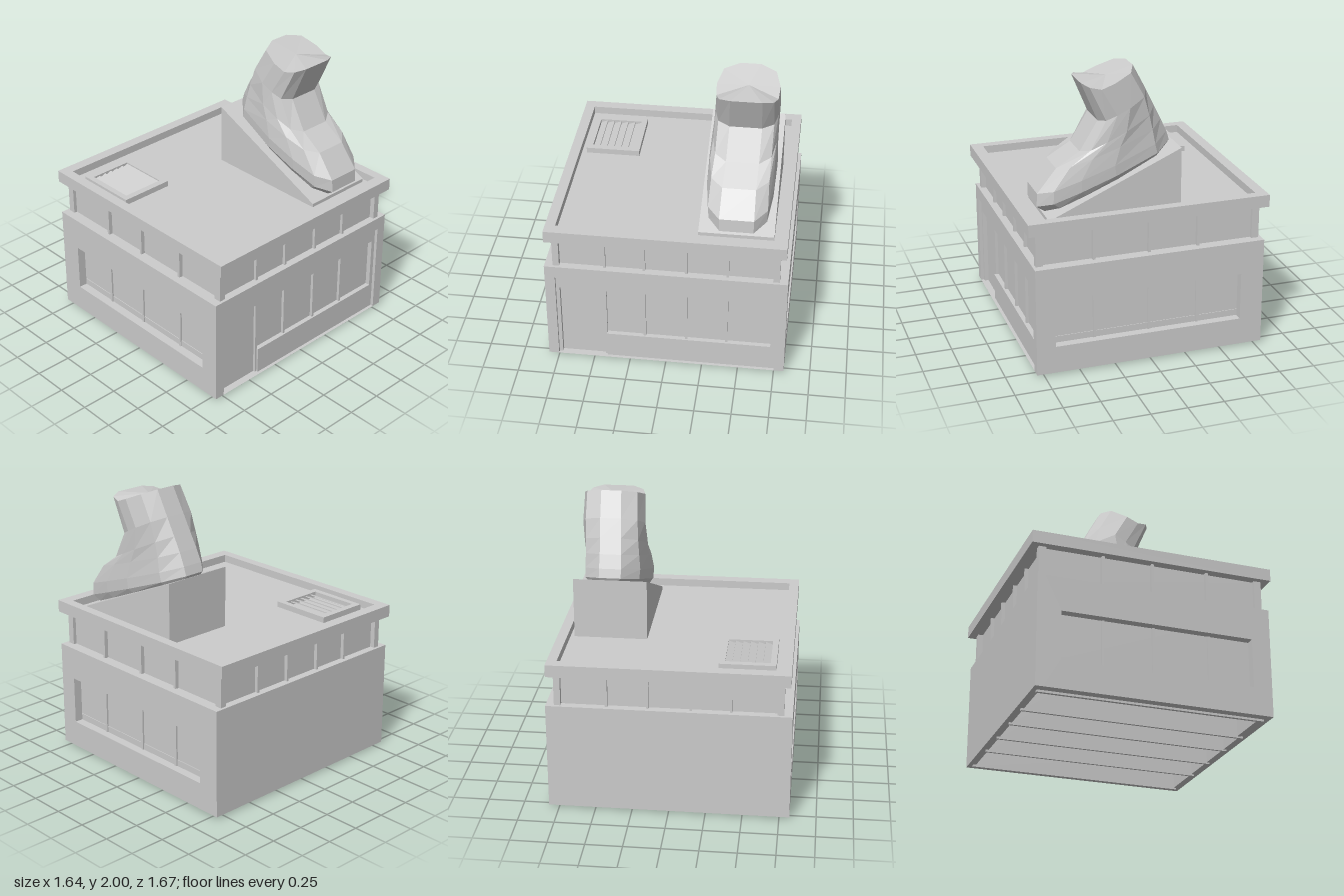
import * as THREE from 'three';

const mat = new THREE.MeshStandardMaterial({ color: 0xcccccc, flatShading: true, side: THREE.DoubleSide });

function add(parent, name, geometry) {
  const mesh = new THREE.Mesh(geometry, mat);
  mesh.name = name;
  parent.add(mesh);
  return mesh;
}

// Box given by its extents on each axis
function box(parent, name, x0, x1, y0, y1, z0, z1) {
  const g = new THREE.BoxGeometry(x1 - x0, y1 - y0, z1 - z0);
  g.translate((x0 + x1) / 2, (y0 + y1) / 2, (z0 + z1) / 2);
  return add(parent, name, g);
}

// Flat rectangular panel [x0, x1, y0, y1] with a rectangular opening
function frame(outer, hole, depth) {
  const corners = ([a, b, c, d]) => [[a, c], [b, c], [b, d], [a, d]].map(p => new THREE.Vector2(...p));
  const shape = new THREE.Shape(corners(outer));
  shape.holes.push(new THREE.Path(corners(hole).reverse()));
  return new THREE.ExtrudeGeometry(shape, { depth, bevelEnabled: false });
}

function buildWalls(root) {
  const g = new THREE.Group();
  g.name = 'groundFloor';
  root.add(g);
  box(g, 'backWall', -0.82, 0.82, 0.015, 0.77, -0.8, -0.75);
  add(g, 'frontWall', frame([-0.82, 0.82, 0.015, 0.77], [-0.75, 0.75, 0.0151, 0.68], 0.05)).position.z = 0.75;

  // Side walls with a long window each; local x runs towards -z
  for (const s of [-1, 1]) {
    const side = frame([-0.75, 0.75, 0.015, 0.77], [-0.67, 0.64, 0.205, 0.54], 0.06);
    side.rotateY(Math.PI / 2);
    side.translate(s > 0 ? 0.76 : -0.82, 0, 0);
    add(g, 'sideWall', side);
    box(g, 'innerWall', s * 0.75 - 0.01, s * 0.75 + 0.01, 0, 0.25, -0.77, 0.76);
  }

  // Glazed core, whose underside is the raised floor
  box(g, 'glazing', -0.755, 0.755, 0.19, 0.765, -0.75, 0.745);
  box(g, 'ledge', -0.8, 0.8, 0.74, 0.769, -0.79, 0.79);

  // Shop front
  box(g, 'signBand', -0.75, 0.75, 0.58, 0.68, 0.74, 0.778);
  box(g, 'frontSill', -0.41, 0.75, 0.012, 0.205, 0.745, 0.778);
  box(g, 'frontJamb', 0.72, 0.75, 0.2, 0.58, 0.74, 0.778);
  box(g, 'doorJamb', -0.75, -0.725, 0.015, 0.58, 0.74, 0.778);
  box(g, 'door', -0.73, -0.41, 0.012, 0.58, 0.725, 0.748);
}

function buildUpperFloor(root) {
  const g = new THREE.Group();
  g.name = 'upperFloor';
  root.add(g);
  box(g, 'upperGlazing', -0.74, 0.74, 0.76, 1.0, -0.745, 0.745);
  for (const x of [-0.742, 0.742])
    for (const z of [-0.755, 0.755])
      box(g, 'cornerPost', x - 0.022, x + 0.022, 0.76, 1.0, z - 0.025, z + 0.025);

  // Mullions run right through the building
  for (const x of [-0.416, -0.147, 0.14, 0.416])
    box(g, 'frontMullion', x - 0.008, x + 0.008, 0, 1.0, -0.77, 0.765);
  for (const z of [0.385, 0, -0.343])
    box(g, 'sideMullion', -0.768, 0.768, 0.165, 1.0, z - 0.009, z + 0.009);
}

function buildRoof(root) {
  const g = new THREE.Group();
  g.name = 'roof';
  root.add(g);
  box(g, 'roofDeck', -0.78, 0.78, 1.001, 1.03, -0.8, 0.8);
  const parapet = frame([-0.805, 0.805, -0.835, 0.835], [-0.735, 0.738, -0.753, 0.758], 0.085);
  parapet.rotateX(-Math.PI / 2);
  parapet.translate(0, 1.0, 0);
  add(g, 'parapet', parapet);

  // Louvred vent
  const rim = frame([-0.7, -0.32, 0.22, 0.66], [-0.66, -0.36, 0.265, 0.615], 0.04);
  rim.rotateX(-Math.PI / 2);
  rim.translate(0, 1.03, 0);
  add(g, 'ventFrame', rim);
  for (let i = 0; i < 6; i++) {
    const slat = box(g, 'ventSlat', -0.026, 0.026, -0.003, 0.003, -0.175, 0.175);
    slat.position.set(-0.635 + i * 0.051, 1.05, -0.44);
    slat.rotation.z = 0.35;
  }
}

// Wedge-shaped stand: side profile swept across x
function buildWedge(root) {
  const profile = [[-0.67, 1.02], [0.235, 1.02], [0.235, 1.455], [-0.67, 1.055]];
  const g = new THREE.ExtrudeGeometry(new THREE.Shape(profile.map(p => new THREE.Vector2(...p))),
    { depth: 0.505, bevelEnabled: false });
  g.rotateY(Math.PI / 2);
  g.translate(0.205, 0, 0);
  add(root, 'wedgeStand', g);
}

// Boot lofted through slanted rings from sole to cuff
function buildBoot(root) {
  // Each ring: front z, y, back z, y, centre x, half width
  const rings = [
    [0.66, 1.07, -0.20, 1.44, 0.465, 0.2],
    [0.715, 1.11, -0.21, 1.46, 0.462, 0.225],
    [0.71, 1.2, -0.19, 1.52, 0.46, 0.23],
    [0.58, 1.36, -0.15, 1.61, 0.462, 0.222],
    [0.42, 1.46, -0.10, 1.71, 0.467, 0.217],
    [0.30, 1.66, -0.04, 1.83, 0.473, 0.215],
    [0.41, 1.92, 0.05, 2.0, 0.478, 0.208],
  ];
  // Around the ring: position front to back, width factor, dip of the cuff
  const half = [[0, 0.5, 0], [0.1, 0.86, 0.02], [0.3, 0.97, 0.05], [0.55, 1, 0.035], [0.87, 0.83, 0.012], [1, 0.33, 0]];
  const around = [...half.map(p => [...p, 1]), ...half.slice().reverse().map(p => [...p, -1])];
  const n = around.length;
  const pos = [], index = [];
  rings.forEach(([zf, yf, zb, yb, cx, w], k) => {
    for (const [t, f, dip, s] of around) {
      const drop = k === rings.length - 1 ? dip : 0;
      pos.push(cx + s * f * w, yf + (yb - yf) * t - drop, zf + (zb - zf) * t);
    }
  });
  for (let k = 0; k < rings.length - 1; k++)
    for (let i = 0; i < n; i++) {
      const a = k * n + i, b = k * n + (i + 1) % n;
      index.push(a, b, b + n, a, b + n, a + n);
    }
  // Cuff lid and sole
  const lid = pos.length / 3;
  pos.push(0.48, 1.93, 0.21, 0.465, 1.25, 0.23);
  const top = (rings.length - 1) * n;
  for (let i = 0; i < n; i++) {
    const j = (i + 1) % n;
    index.push(top + i, top + j, lid, j, i, lid + 1);
  }
  let g = new THREE.BufferGeometry();
  g.setAttribute('position', new THREE.Float32BufferAttribute(pos, 3));
  g.setIndex(index);
  g = g.toNonIndexed();
  g.computeVertexNormals();
  add(root, 'boot', g);
}

export function createModel() {
  const root = new THREE.Group();
  root.name = 'shoeShop';
  buildWalls(root);
  buildUpperFloor(root);
  buildRoof(root);
  buildWedge(root);
  buildBoot(root);
  return root;
}
